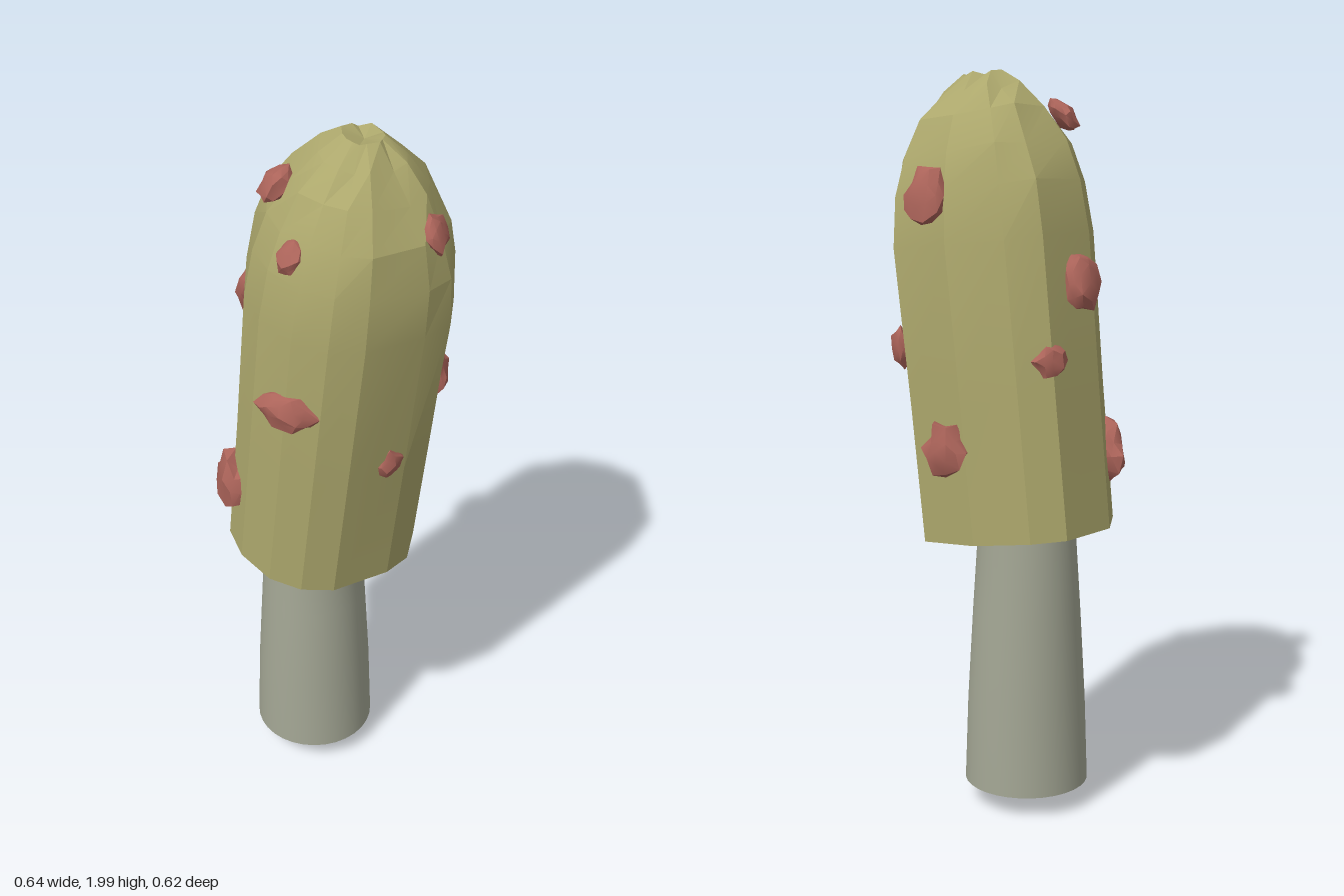
import * as THREE from 'three';
import { mergeVertices, toCreasedNormals } from 'three/addons/utils/BufferGeometryUtils.js';

const LEAN = 0.115;
const CAP_BASE = new THREE.Vector3(-0.055, 0.78, 0);

function seeded(seed) {
  return () => {
    seed = (seed * 16807) % 2147483647;
    return seed / 2147483647;
  };
}

// Tapered stem with a shallow pointed foot, leaning once inside the cap
function makeStem(material) {
  const profile = [[0.0001, 0.005], [0.17, 0.065], [0.162, 0.3], [0.148, 0.55], [0.132, 0.8], [0.125, 1.15], [0.12, 1.6]]
    .map(([r, y]) => new THREE.Vector2(r, y));
  const geo = new THREE.LatheGeometry(profile, 32);
  const p = geo.attributes.position;
  for (let i = 0; i < p.count; i++) {
    const y = p.getY(i);
    const centre = y < 0.03 ? -0.05 : -0.068 + Math.max(0, y - 0.8) * LEAN;
    p.setX(i, p.getX(i) + centre);
  }
  const mesh = new THREE.Mesh(toCreasedNormals(geo, 0.5), material);
  mesh.name = 'stem';
  return mesh;
}

// Open bell built from irregular rings, uneven towards the dimpled crown
function makeCap(material) {
  const angles = [10, 46, 64, 83, 108, 131, 171, 207, 226, 259, 298, 329, 352];
  const radii = [0.27, 0.28, 0.285, 0.278, 0.26, 0.25, 0.268, 0.293, 0.28, 0.265, 0.283, 0.273, 0.28];
  // height along the axis, radius factor, unevenness
  const rings = [
    [0, 1, 0], [0.37, 1.01, 0], [0.78, 1.03, 0.008], [0.92, 0.97, 0.01], [1.02, 0.86, 0.012],
    [1.11, 0.66, 0.014], [1.175, 0.42, 0.014], [1.215, 0.2, 0.008],
  ];
  const rand = seeded(17);
  const n = angles.length;
  const pos = [];
  const index = [];
  rings.forEach(([y, f, wobble], k) => {
    for (let i = 0; i < n; i++) {
      const a = THREE.MathUtils.degToRad(angles[i]);
      const blend = k < 4 ? 0 : (k - 3) / 5;
      const r = THREE.MathUtils.lerp(radii[i], 0.27, blend) * f + (rand() - 0.5) * wobble;
      pos.push(Math.cos(a) * r, y + (rand() - 0.5) * wobble * 1.6, Math.sin(a) * r);
    }
  });
  pos.push(0, 1.2, -0.01);
  const crown = rings.length * n;
  for (let k = 0; k < rings.length; k++) {
    for (let i = 0; i < n; i++) {
      const a = k * n + i;
      const b = k * n + (i + 1) % n;
      if (k === rings.length - 1) index.push(a, crown, b);
      else index.push(a, a + n, b, b, a + n, b + n);
    }
  }
  const geo = new THREE.BufferGeometry();
  geo.setAttribute('position', new THREE.Float32BufferAttribute(pos, 3));
  geo.setIndex(index);
  const mesh = new THREE.Mesh(toCreasedNormals(geo, 0.3), material);
  mesh.name = 'cap';
  mesh.position.copy(CAP_BASE);
  mesh.rotation.z = -LEAN;
  return mesh;
}

// Knobbly wart: a jittered ball flattened against the cap
function makeWart([x, y, z, w, h, d], i, material) {
  let geo = new THREE.IcosahedronGeometry(1, 1);
  geo.deleteAttribute('normal');
  geo.deleteAttribute('uv');
  geo = mergeVertices(geo, 1e-3);
  const rand = seeded(101 + i * 37);
  const p = geo.attributes.position;
  for (let k = 0; k < p.count; k++) {
    const s = 0.76 + rand() * 0.38;
    p.setXYZ(k, p.getX(k) * s * w, p.getY(k) * s * h, p.getZ(k) * s * d);
  }
  const mesh = new THREE.Mesh(toCreasedNormals(geo, 0.6), material);
  mesh.name = 'wart' + (i + 1);
  mesh.position.set(x, y, z);
  // face away from the cap axis, tipping upwards on the dome
  const axisX = CAP_BASE.x + (y - CAP_BASE.y) * LEAN;
  const out = new THREE.Vector3(x - axisX, 0, z).normalize();
  out.y = -LEAN * out.x + Math.max(0, y - 1.6) * 2.6;
  mesh.lookAt(mesh.position.clone().add(out));
  return mesh;
}

export function createModel() {
  const group = new THREE.Group();
  group.name = 'mushroom';
  const stemMat = new THREE.MeshStandardMaterial({ color: 0xa3a694 });
  const capMat = new THREE.MeshStandardMaterial({ color: 0xaca76c, side: THREE.DoubleSide });
  const wartMat = new THREE.MeshStandardMaterial({ color: 0xac645a });

  group.add(makeStem(stemMat), makeCap(capMat));

  // x, y, z, half width, half height, half depth
  const warts = [
    [-0.07, 1.88, 0.145, 0.045, 0.055, 0.03],
    [0.035, 1.75, 0.235, 0.04, 0.05, 0.025],
    [0.04, 1.34, 0.275, 0.088, 0.055, 0.035],
    [-0.2, 0.98, 0.18, 0.085, 0.09, 0.055],
    [0.23, 1.15, 0.08, 0.045, 0.055, 0.025],
    [0.285, 1.78, -0.01, 0.045, 0.055, 0.03],
    [-0.265, 1.46, -0.02, 0.06, 0.085, 0.035],
    [-0.25, 1.27, -0.13, 0.05, 0.05, 0.03],
    [0.2, 1.27, -0.2, 0.05, 0.06, 0.03],
    [0.05, 1.68, -0.265, 0.07, 0.08, 0.04],
    [-0.015, 1.03, -0.265, 0.07, 0.075, 0.045],
  ];
  const wartGroup = new THREE.Group();
  wartGroup.name = 'warts';
  warts.forEach((w, i) => wartGroup.add(makeWart(w, i, wartMat)));
  group.add(wartGroup);
  return group;
}
